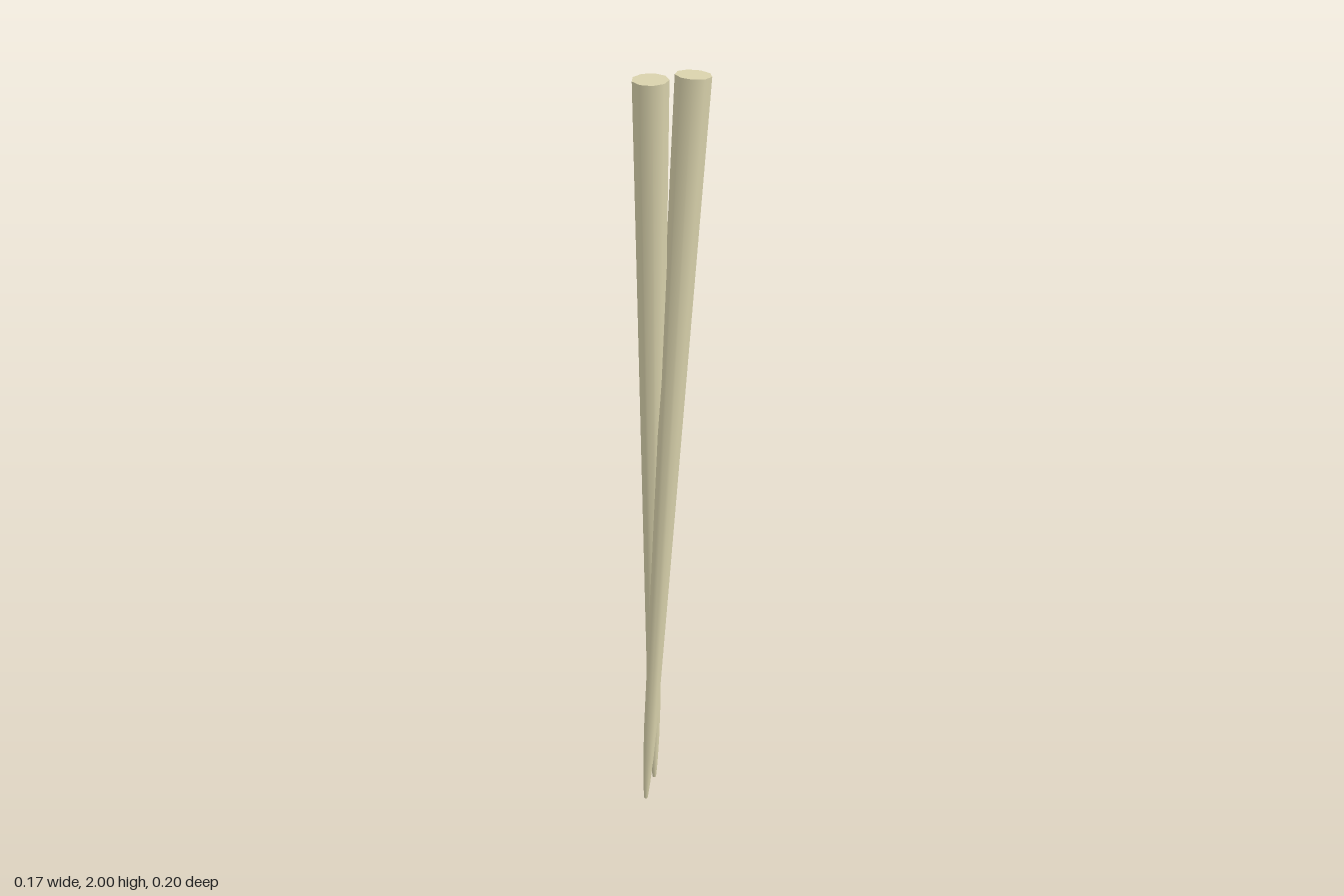
import * as THREE from 'three';

const SIDES = 9;
const material = new THREE.MeshStandardMaterial({ color: 0xd9d2ac });

// [radius, height] from the blunt tip to the thick end
const PROFILE = [
  [0, 0], [0.005, 0.003], [0.009, 0.05], [0.014, 0.14], [0.0175, 0.25], [0.042, 2],
].map(([r, y]) => new THREE.Vector2(r, y));

// A tapered stick standing on its tip, leaning from tip to end; twist turns its facets
function makeStick(name, tip, end, twist) {
  const stick = new THREE.Group();
  stick.name = name;

  const shaft = new THREE.Mesh(
    new THREE.LatheGeometry(PROFILE, SIDES, Math.PI - twist), material);
  shaft.name = name + 'Shaft';

  // Flat cap closing the thick end
  const cap = new THREE.Mesh(
    new THREE.CircleGeometry(0.042, SIDES, Math.PI / 2 - twist).rotateX(-Math.PI / 2), material);
  cap.name = name + 'Cap';
  cap.position.y = 2;

  stick.add(shaft, cap);
  const direction = end.clone().sub(tip).normalize();
  stick.quaternion.setFromUnitVectors(new THREE.Vector3(0, 1, 0), direction);
  stick.position.copy(tip);
  return stick;
}

export function createModel() {
  const group = new THREE.Group();
  group.name = 'chopsticks';
  group.add(
    // Upright stick
    makeStick('uprightStick',
      new THREE.Vector3(-0.043, 0, -0.002), new THREE.Vector3(-0.043, 2, -0.002), 0),
    // Stick leaning back and across
    makeStick('leaningStick',
      new THREE.Vector3(-0.044, 0.006, 0.095), new THREE.Vector3(0.041, 1.997, -0.06),
      THREE.MathUtils.degToRad(10)),
  );
  return group;
}
